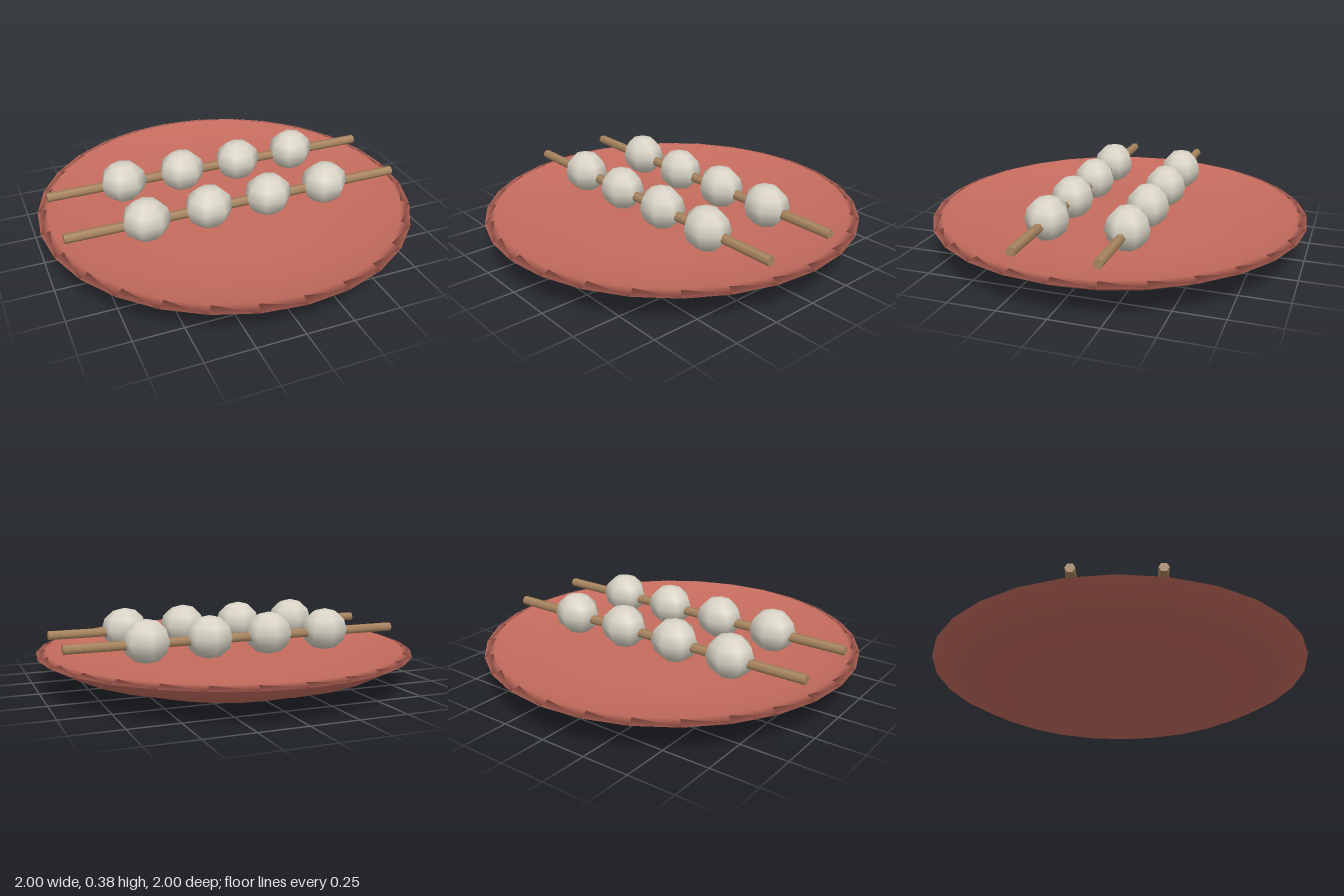
import * as THREE from 'three';

export function createModel() {
  const model = new THREE.Group();
  const clay = new THREE.MeshStandardMaterial({ color: 0xc56c5e });
  const dough = new THREE.MeshStandardMaterial({ color: 0xd8d3c5 });
  const wood = new THREE.MeshStandardMaterial({ color: 0xa98660 });
  clay.name = 'plateClay';
  dough.name = 'dough';
  wood.name = 'skewerWood';

  const add = (parent, name, geometry, material) => {
    const mesh = new THREE.Mesh(geometry, material);
    mesh.name = name;
    parent.add(mesh);
    return mesh;
  };

  // Round plate: foot, flared underside, sloped lip and shallow dish
  const profile = [
    [0, 0], [0.55, 0], [0.6, 0.06], [0.85, 0.09], [1, 0.17],
    [0.95, 0.185], [0.83, 0.125], [0.55, 0.11], [0, 0.11],
  ].map(([r, y]) => new THREE.Vector2(r, y));
  add(model, 'plate', new THREE.LatheGeometry(profile, 28), clay);

  // Hexagonal stick along x, and a low-sided dumpling ball with a corner to the back
  const stickGeometry = new THREE.CylinderGeometry(0.025, 0.025, 1.83, 6).rotateZ(Math.PI / 2);
  const ballGeometry = new THREE.SphereGeometry(1, 7, 6, Math.PI * 1.5).scale(0.127, 0.113, 0.113);

  // Two skewers of four balls
  for (const z of [0.208, -0.208]) {
    const skewer = new THREE.Group();
    skewer.name = z > 0 ? 'frontSkewer' : 'backSkewer';
    skewer.position.z = z;
    add(skewer, 'stick', stickGeometry, wood).position.set(-0.003, 0.257, 0);
    for (let i = 0; i < 4; i++) {
      add(skewer, 'ball', ballGeometry, dough).position.set(-0.503 + i * 0.333, 0.27, 0);
    }
    model.add(skewer);
  }
  return model;
}
